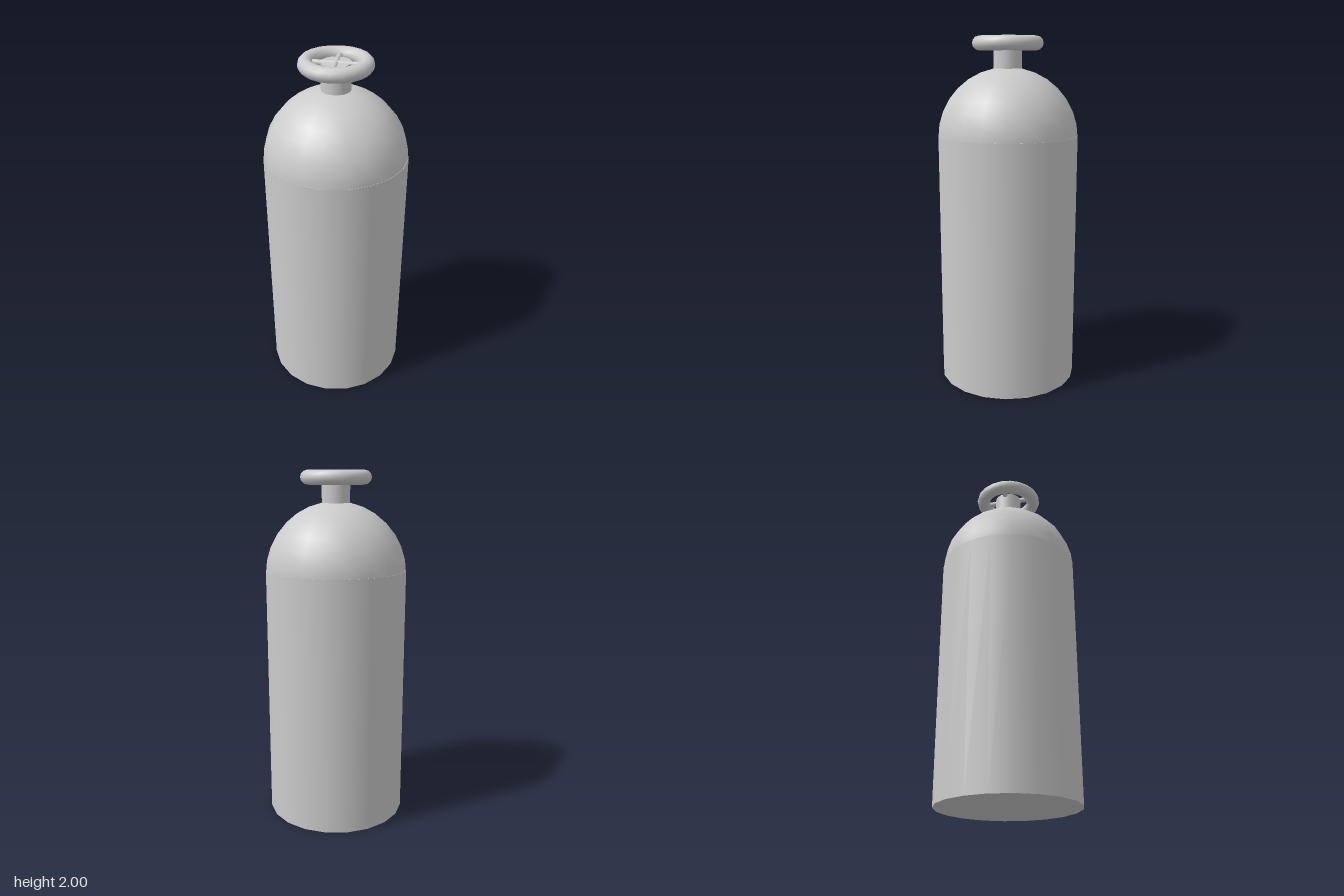
import * as THREE from 'three';

const SIDES = 20;

export function createModel() {
  const group = new THREE.Group();
  const material = new THREE.MeshStandardMaterial({ color: 0xcccccc });

  const add = (name, geometry, y) => {
    const mesh = new THREE.Mesh(geometry, material);
    mesh.name = name;
    mesh.position.y = y;
    group.add(mesh);
    return mesh;
  };

  // Tank body and the domed shoulder, sunk slightly into it
  add('tankBody', new THREE.CylinderGeometry(0.4, 0.4, 1.45, SIDES), 0.725);
  add('domeShoulder', new THREE.SphereGeometry(0.4, SIDES, 8, 0, Math.PI * 2, 0, Math.PI / 2), 1.43);

  // Valve neck, reaching up into the hub of the wheel
  const neckBottom = 1.75, neckTop = 1.97;
  add('valveNeck', new THREE.CylinderGeometry(0.08, 0.08, neckTop - neckBottom, SIDES), (neckTop + neckBottom) / 2);

  // Hand wheel rim
  add('wheelRim', new THREE.TorusGeometry(0.16, 0.04, 12, SIDES).rotateX(Math.PI / 2), 1.96);

  // Two crossed bars, each forming a pair of spokes
  for (const [name, turn] of [['spokeAcross', 0], ['spokeFrontBack', Math.PI / 2]]) {
    const bar = new THREE.CylinderGeometry(0.016, 0.016, 0.3, 8).rotateZ(Math.PI / 2);
    add(name, bar, 1.962).rotation.y = turn;
  }

  return group;
}
